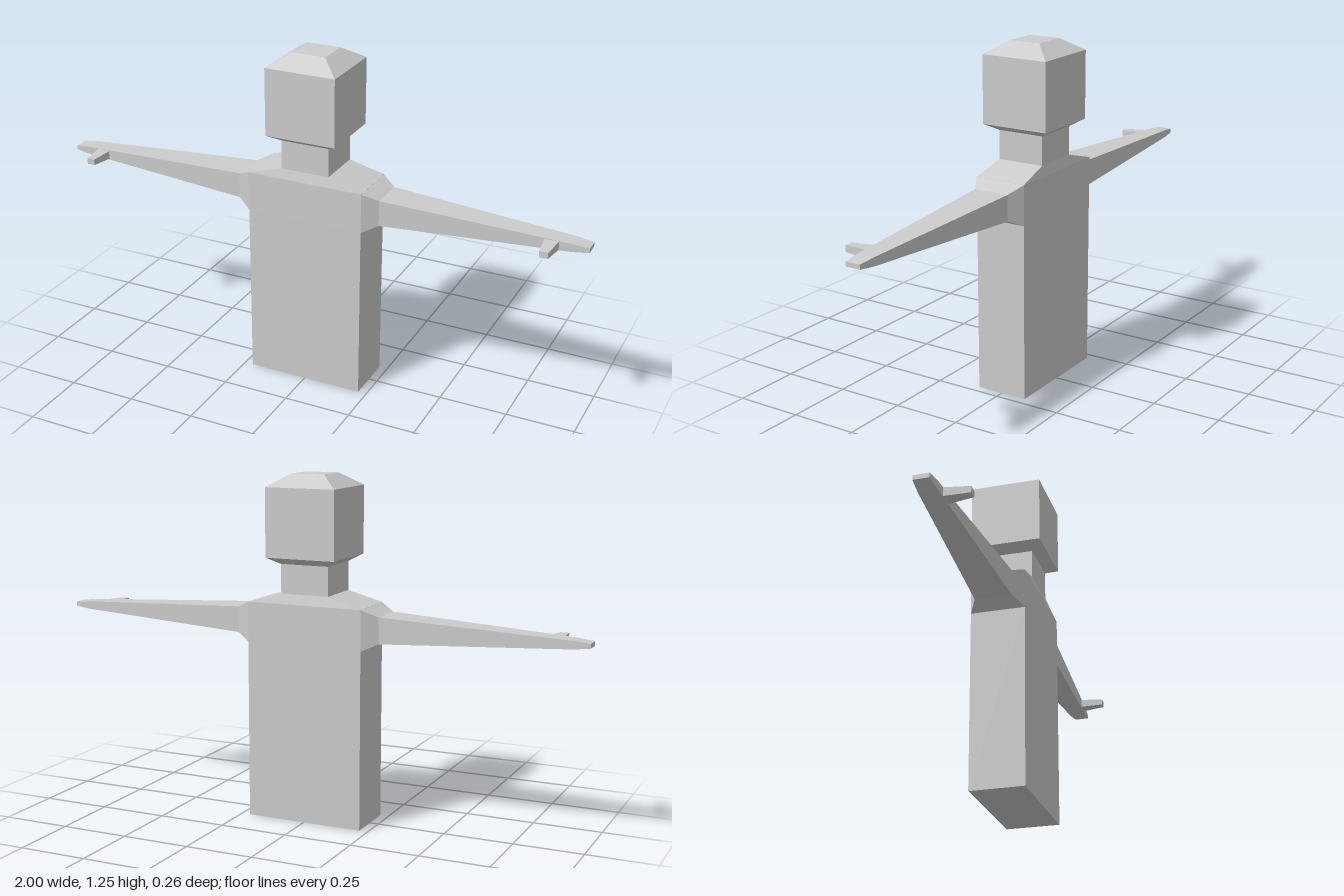
import * as THREE from 'three';

const grey = new THREE.MeshStandardMaterial({ color: 0xcccccc });
grey.name = 'plain grey';

// Flat-sided solid through rectangles [y, halfX, halfZ], with optional end caps
function loft(sections, capStart = false, capEnd = false) {
  const rings = sections.map(([y, x, z]) => [[-x, y, z], [x, y, z], [x, y, -z], [-x, y, -z]]);
  const points = [];
  const quad = (a, b, c, d) => points.push(...a, ...b, ...c, ...a, ...c, ...d);
  for (let k = 0; k < rings.length - 1; k++) {
    const low = rings[k], high = rings[k + 1];
    for (let i = 0; i < 4; i++) {
      const j = (i + 1) % 4;
      quad(low[i], low[j], high[j], high[i]);
    }
  }
  if (capStart) quad(...[...rings[0]].reverse());
  if (capEnd) quad(...rings[rings.length - 1]);
  const geometry = new THREE.BufferGeometry();
  geometry.setAttribute('position', new THREE.Float32BufferAttribute(points, 3));
  geometry.computeVertexNormals();
  return geometry;
}

function part(name, geometry, parent) {
  const mesh = new THREE.Mesh(geometry, grey);
  mesh.name = name;
  parent.add(mesh);
  return mesh;
}

export function createModel() {
  const model = new THREE.Group();
  model.name = 'figure';

  // Block torso with sloping shoulders
  part('torso', loft([[0, 0.218, 0.097], [0.645, 0.218, 0.097], [0.79, 0.218, 0.097], [0.826, 0.09, 0.088]], true), model);
  part('neck', loft([[0.826, 0.09, 0.088], [0.931, 0.09, 0.088]]), model);

  // Head with bevelled chin and crown
  part('head', loft([[0.931, 0.09, 0.088], [0.955, 0.131, 0.128], [1.2, 0.131, 0.128], [1.245, 0.063, 0.06]], false, true), model);

  // Tapered arms held straight out, each with a thumb pointing forward
  const armY = 0.717;
  for (const [side, s] of [['left', 1], ['right', -1]]) {
    const armProfile = [[0.218, 0.0725, 0.097], [0.272, 0.047, 0.066], [0.94, 0.0145, 0.032], [1, 0.008, 0.027]];
    const arm = loft(armProfile, false, true).rotateZ(-s * Math.PI / 2).translate(0, armY, 0);
    part(side + 'Arm', arm, model);

    const thumb = loft([[0.025, 0.026, 0.016], [0.121, 0.015, 0.011]], false, true);
    thumb.rotateX(Math.PI / 2).translate(s * 0.874, armY, 0);
    part(side + 'Thumb', thumb, model);
  }
  return model;
}
